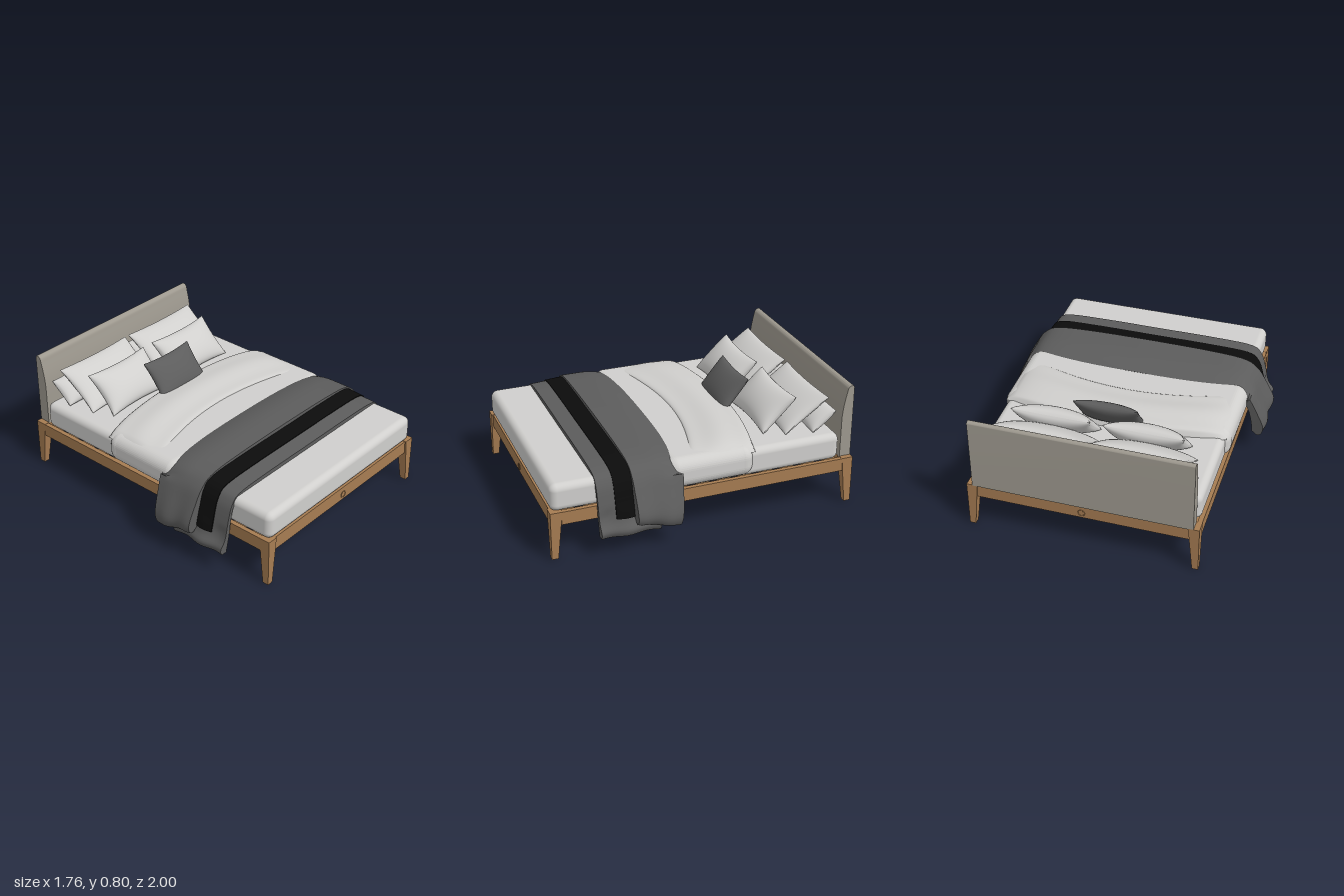
import * as THREE from 'three';
import { toCreasedNormals } from 'three/addons/utils/BufferGeometryUtils.js';
import { RoundedBoxGeometry } from 'three/addons/geometries/RoundedBoxGeometry.js';

const mat = (name, color, side = THREE.FrontSide) => {
  const m = new THREE.MeshStandardMaterial({ color, side });
  m.name = name;
  return m;
};

// Applies fn(vector) to every vertex
function bend(geo, fn) {
  const p = geo.attributes.position, v = new THREE.Vector3();
  for (let i = 0; i < p.count; i++) {
    fn(v.fromBufferAttribute(p, i));
    p.setXYZ(i, v.x, v.y, v.z);
  }
  geo.computeVertexNormals();
  return geo;
}

// Tapered square post: bottom scaled by k towards the side (sx, sz); 0 keeps it centred
function post(w, h, d, k, sx, sz) {
  return bend(new THREE.BoxGeometry(w, h, d), v => {
    if (v.y < 0) {
      v.x = sx * w / 2 + (v.x - sx * w / 2) * k;
      v.z = sz * d / 2 + (v.z - sz * d / 2) * k;
    }
    v.y += h / 2;
  });
}

// Cushion with pinched corners, made of two puffed faces
function cushionGeometry(w, h, t, pinch = 0.09) {
  const n = 24, pos = [], idx = [];
  for (const s of [1, -1]) {
    const base = pos.length / 3;
    for (let j = 0; j <= n; j++) for (let i = 0; i <= n; i++) {
      const u = -Math.cos(Math.PI * i / n), v = -Math.cos(Math.PI * j / n);
      const a = 1 - u * u, b = 1 - v * v;
      pos.push(w / 2 * u * (1 - pinch * b), h / 2 * v * (1 - pinch * 1.3 * a),
        s * t / 2 * Math.pow(Math.max(a * b, 0), 0.42));
      if (i < n && j < n) {
        const p = base + j * (n + 1) + i, q = p + n + 1;
        if (s > 0) idx.push(p, p + 1, q + 1, p, q + 1, q);
        else idx.push(p, q + 1, p + 1, p, q, q + 1);
      }
    }
  }
  const g = new THREE.BufferGeometry();
  g.setAttribute('position', new THREE.Float32BufferAttribute(pos, 3));
  g.setIndex(idx);
  g.computeVertexNormals();
  return g;
}

// Cloth lying across the bed: half outline (outer, then inner) mirrored and extruded along z
function drape(outer, inner, z0, z1, rule) {
  const smooth = pts => new THREE.SplineCurve(pts.map(p => new THREE.Vector2(...p))).getPoints(30);
  const half = [...smooth(outer), ...smooth(inner)];
  const mirrored = half.slice(1, -1).reverse().map(p => new THREE.Vector2(-p.x, p.y));
  const geo = new THREE.ExtrudeGeometry(new THREE.Shape([...half, ...mirrored]),
    { depth: z1 - z0, steps: 14, bevelEnabled: false });
  geo.translate(0, 0, z0);
  return toCreasedNormals(bend(geo, rule), 0.8);
}

export function createModel() {
  const model = new THREE.Group();
  const wood = mat('wood', 0xa67c52);
  const linen = mat('white linen', 0xd0cfcd);
  const linenOpen = mat('white duvet', 0xcfcecc, THREE.DoubleSide);
  const grey = mat('grey wool', 0x5c5c5c);
  const black = mat('black stripe', 0x0c0c0c);
  const fabric = mat('headboard fabric', 0x9e998f);
  const metal = mat('support leg grey', 0x6a6867);

  const add = (name, geo, m, x = 0, y = 0, z = 0) => {
    const mesh = new THREE.Mesh(geo, m);
    mesh.name = name;
    mesh.position.set(x, y, z);
    model.add(mesh);
    return mesh;
  };
  const box = (name, m, w, h, d, x, y, z) => add(name, new THREE.BoxGeometry(w, h, d), m, x, y, z);

  // Frame: corner legs, rails and round rail marks
  for (const s of [1, -1]) {
    for (const e of [1, -1])
      add('cornerLeg', post(0.07, 0.315, 0.075, 0.55, s, e), wood, s * 0.702, 0, e * 0.9625);
    box('sideRail', wood, 0.03, 0.085, 1.86, s * 0.72, 0.27, 0);
    box('endRail', wood, 1.35, 0.09, 0.03, 0, 0.267, s * 0.975);
    box('slatLedge', wood, 0.03, 0.03, 1.9, s * 0.69, 0.25, 0);
    add('railRing', new THREE.TorusGeometry(0.021, 0.003, 8, 24), wood, 0, 0.257, s * 0.99);
  }

  // Slats
  for (let i = 0; i < 13; i++)
    box('slat', wood, 1.41, 0.025, 0.075, 0, 0.28, -0.87 + i * 0.145);

  // Centre beam with sloped ends, and its two legs
  add('centreBeam', bend(new THREE.BoxGeometry(0.09, 0.07, 1.9), v => {
    if (v.y < 0) v.z *= 0.9;
  }), wood, 0, 0.232, 0);
  for (const z of [0.285, -0.285])
    add('centreLeg', post(0.044, 0.2, 0.05, 0.55, 0, 0), metal, 0.01, 0, z);

  // Headboard: flat back, front leaning back towards the top
  const side = new THREE.Shape();
  side.moveTo(1, 0.31);
  side.lineTo(0.925, 0.31);
  side.lineTo(0.925, 0.58);
  side.bezierCurveTo(0.93, 0.68, 0.95, 0.74, 0.957, 0.78);
  side.quadraticCurveTo(0.965, 0.8, 0.985, 0.8);
  side.quadraticCurveTo(1, 0.8, 1, 0.785);
  const board = new THREE.ExtrudeGeometry(side, { depth: 1.4, bevelEnabled: false, curveSegments: 10 });
  board.rotateY(Math.PI / 2).translate(-0.7, 0, 0);
  add('headboard', toCreasedNormals(board, 0.7), fabric);

  // Mattress and the duvet hanging over its sides
  add('mattress', new RoundedBoxGeometry(1.44, 0.18, 1.9, 5, 0.045), linen, 0, 0.395, 0.04);
  add('duvet', bend(new RoundedBoxGeometry(1.5, 0.2, 0.58, 6, 0.075), v => {
    v.x += Math.sign(v.x) * 0.012 * Math.sin(v.z * 14);
  }), linen, 0, 0.412, -0.025);

  // Folded-back top of the duvet with an arched front edge
  const fold = bend(new THREE.PlaneGeometry(2, 2, 48, 32), v => {
    const u = v.x, t = (v.y + 1) / 2, u2 = u * u;
    const back = -0.42 + 0.1 * u2, front = -0.02 + 0.16 * u2;
    const rim = Math.pow(Math.max(1 - (2 * t - 1) ** 8, 0), 0.5) * Math.pow(1 - u2 * u2 * u2, 0.5);
    v.set(u * 0.73, 0.475 + (0.058 + 0.018 * t - 0.008 * Math.sin(t * 9)) * rim, front + (back - front) * t);
  });
  add('duvetFold', fold, linenOpen);

  // Blanket in two layers, the lower one with a dark stripe
  const lowerRule = v => {
    if (v.y > 0.3) v.y -= 0.06 * Math.max(v.z - 0.5, 0);
    else v.x += Math.sign(v.x) * 0.01 * Math.sin(v.z * 26);
  };
  const upperRule = v => {
    const d = Math.max(0.36 - v.z, 0) / 0.19, low = THREE.MathUtils.clamp((0.5 - v.y) / 0.36, 0, 1);
    if (v.y > 0.45) v.y -= 0.04 * d * d;
    v.y += low * 0.06 * (v.z - 0.2) / 0.3;
    v.x += Math.sign(v.x) * low * 0.008 * Math.sin(v.z * 30);
    v.z += low * 0.05 * (0.5 - v.z) / 0.33;
  };
  add('lowerBlanket', drape(
    [[0, 0.525], [0.4, 0.525], [0.66, 0.513], [0.735, 0.46], [0.77, 0.36], [0.8, 0.23], [0.84, 0.17], [0.83, 0.13]],
    [[0.79, 0.13], [0.765, 0.24], [0.745, 0.36], [0.715, 0.45], [0.64, 0.485], [0.4, 0.485], [0, 0.485]],
    0.34, 0.715, lowerRule), grey);
  add('blanketStripe', drape(
    [[0, 0.53], [0.4, 0.53], [0.662, 0.518], [0.74, 0.463], [0.776, 0.36], [0.807, 0.235]],
    [[0.8, 0.235], [0.768, 0.36], [0.733, 0.458], [0.658, 0.512], [0.4, 0.522], [0, 0.522]],
    0.47, 0.61, lowerRule), black);
  add('upperBlanket', drape(
    [[0, 0.555], [0.4, 0.55], [0.66, 0.53], [0.755, 0.47], [0.815, 0.36], [0.872, 0.22], [0.86, 0.15], [0.83, 0.14]],
    [[0.8, 0.17], [0.79, 0.26], [0.765, 0.36], [0.72, 0.46], [0.64, 0.49], [0.4, 0.49], [0, 0.49]],
    0.165, 0.495, upperRule), grey);

  // Pillows in three rows on each side, leaning back
  const cushion = (name, m, w, h, t, x, y, z, lean, pinch) => {
    add(name, cushionGeometry(w, h, t, pinch), m, x, y, z).rotation.x = -lean;
  };
  for (const s of [1, -1]) {
    cushion('rearPillow', linen, 0.65, 0.2, 0.15, s * 0.335, 0.56, -0.825, 0.9, 0.02);
    cushion('middlePillow', linen, 0.6, 0.36, 0.12, s * 0.315, 0.595, -0.725, 0.95, 0.05);
    cushion('frontPillow', linen, 0.51, 0.31, 0.15, s * 0.295, 0.595, -0.565, 0.8, 0.08);
  }
  cushion('greyCushion', grey, 0.42, 0.28, 0.11, -0.003, 0.6, -0.415, 0.68, 0.07);

  return model;
}
